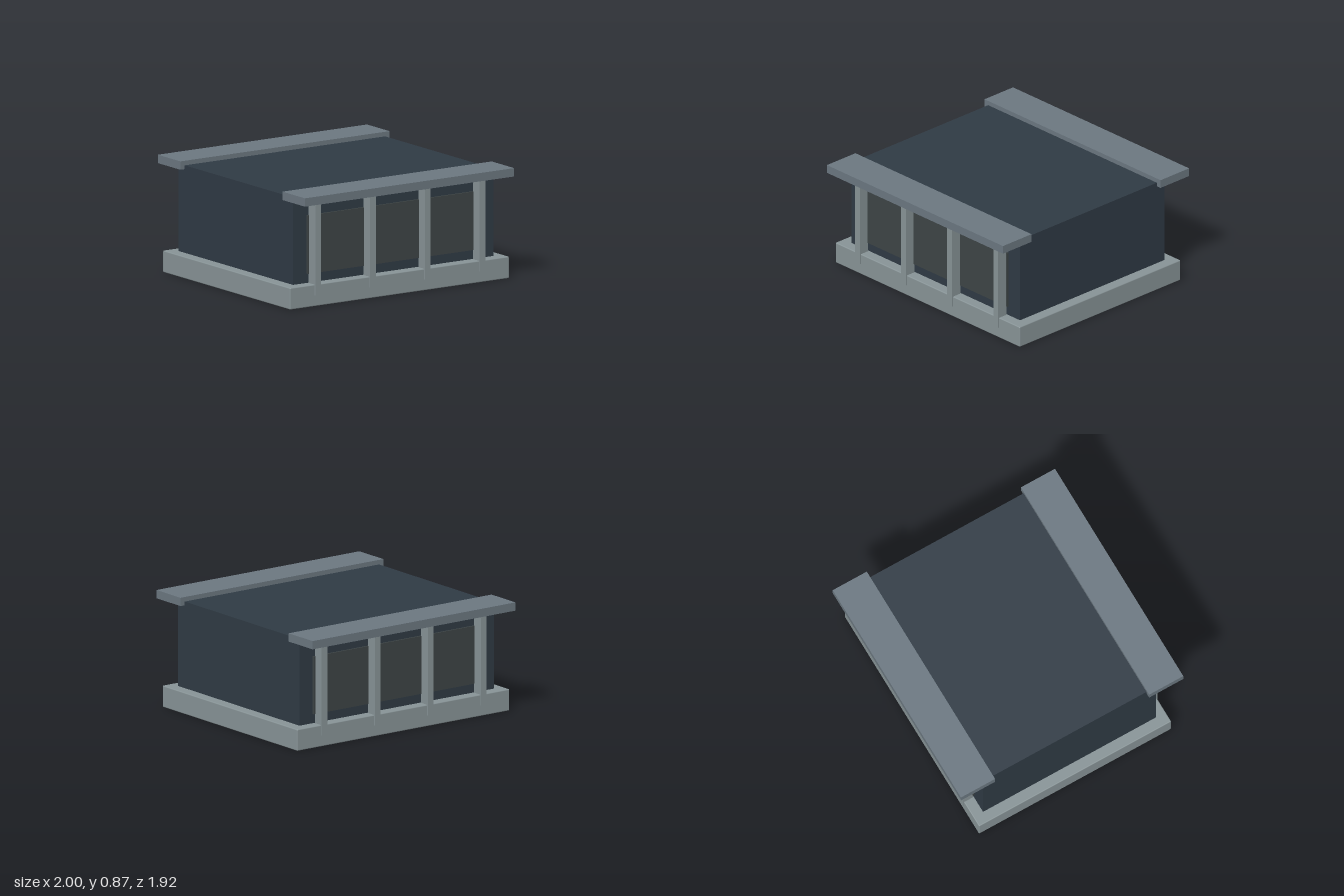
import * as THREE from 'three';
import { RoundedBoxGeometry } from 'three/addons/geometries/RoundedBoxGeometry.js';

const paint = (color) => new THREE.MeshStandardMaterial({ color });

export function createModel() {
  const model = new THREE.Group();
  const stone = paint(0x879396);
  const slate = paint(0x2f3a44);
  const roofing = paint(0x6b7780);
  const glass = paint(0x3d4445);
  const teal = paint(0x1f6068);

  const add = (name, geometry, material, x, y, z, parent = model) => {
    const mesh = new THREE.Mesh(geometry, material);
    mesh.name = name;
    mesh.position.set(x, y, z);
    parent.add(mesh);
    return mesh;
  };
  const box = (w, h, d) => new THREE.BoxGeometry(w, h, d);

  // Plinth with softened edges, and the main block standing on it
  add('base', new RoundedBoxGeometry(2, 0.166, 1.664, 2, 0.008), stone, 0, 0.083, 0);
  add('body', box(1.83, 0.675, 1.496), slate, 0, 0.4975, 0);

  // Matching front and back facades
  for (const side of [1, -1]) {
    const facade = new THREE.Group();
    facade.name = side > 0 ? 'frontFacade' : 'backFacade';
    model.add(facade);

    add('canopy', box(1.91, 0.064, 0.295), roofing, 0, 0.838, side * 0.8145, facade);
    add('windowPanel', box(1.58, 0.447, 0.03), glass, 0, 0.4605, side * 0.747, facade);
    add('lightStrip', box(1.66, 0.014, 0.018), teal, 0, 0.8, side * 0.83, facade);

    // Columns run from the plinth face up to the canopy
    for (const x of [-0.75, -0.25, 0.25, 0.75]) {
      add('column', box(0.053, 0.722, 0.085), stone, x, 0.446, side * 0.7985, facade);
    }
  }
  return model;
}
